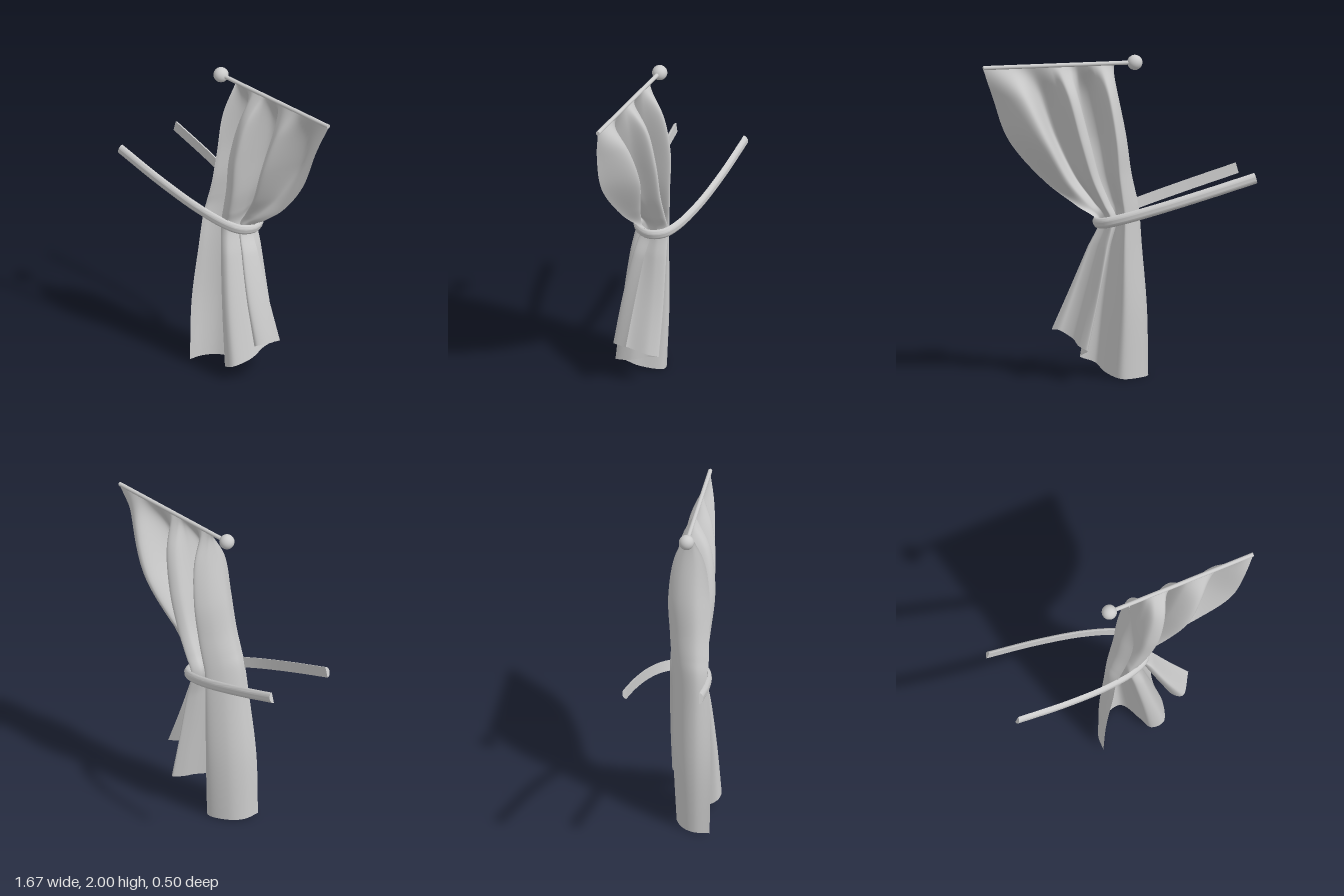
import * as THREE from 'three';
import { toCreasedNormals } from 'three/addons/utils/BufferGeometryUtils.js';

const V = (x, y, z) => new THREE.Vector3(x, y, z);
const ROD_Y = 1.955, ROD_Z = 0.04;

// Cross-sections of the cloth, listed along the folds from its right edge to its left edge
const HEM = [ // x, y, z
  [-0.238, 0.01, 0.2], [-0.23, 0.005, 0.1], [-0.175, 0.005, 0.02], [-0.03, 0.005, -0.03],
  [0.045, 0.035, 0.11], [0.08, 0.08, 0.205], [0.16, 0.11, 0.21], [0.2, 0.14, 0.1],
  [0.19, 0.18, -0.03], [0.21, 0.2, -0.1], [0.245, 0.22, -0.04], [0.25, 0.25, 0.1],
  [0.31, 0.29, 0.16], [0.397, 0.32, 0.04],
].map((p) => V(...p));

const WAIST = [ // x, z, on the slope of the tieback
  [-0.14, 0.178], [-0.168, 0.1], [-0.13, 0.01], [-0.04, -0.06], [-0.05, 0.06],
  [-0.03, 0.13], [0.02, 0.125], [0.035, 0.05], [0.01, -0.05], [0.05, -0.09],
  [0.07, -0.03], [0.05, 0.05], [0.085, 0.07], [0.112, 0],
].map(([x, z]) => V(x, 1.01 - 0.29 * x, z));

const SKIRT = [ // x, z, between hem and waist
  [-0.22, 0.203], [-0.222, 0.1], [-0.17, 0.01], [-0.04, -0.05], [0.01, 0.09],
  [0.04, 0.19], [0.1, 0.19], [0.135, 0.09], [0.12, -0.04], [0.14, -0.1],
  [0.165, -0.04], [0.17, 0.09], [0.215, 0.14], [0.28, 0.03],
].map(([x, z], i) => V(x, THREE.MathUtils.lerp(HEM[i].y, WAIST[i].y, 0.4), z));

const SHOULDER = [ // x, z
  [-0.03, 0.17], [-0.078, 0.08], [-0.05, -0.03], [0.02, -0.095], [0.045, 0.05],
  [0.07, 0.16], [0.145, 0.175], [0.17, 0.06], [0.185, -0.06], [0.245, -0.09],
  [0.275, 0.04], [0.35, 0.145], [0.46, -0.08], [0.66, 0.09],
].map(([x, z]) => V(x, 1.5, z));

const TOP = [0, 0.01, 0.03, 0.08, 0.13, 0.17, 0.23, 0.265, 0.3, 0.35, 0.4, 0.51, 0.67, 0.83]
  .map((x) => V(x, 1.945, ROD_Z));

// Blend two cross-sections with a separate amount for x, y and z
const blend = (a, b, fx, fy = fx, fz = fx) => a.map((p, i) => V(
  THREE.MathUtils.lerp(p.x, b[i].x, fx),
  THREE.MathUtils.lerp(p.y, b[i].y, fy),
  THREE.MathUtils.lerp(p.z, b[i].z, fz),
));

// Smooth sheet through the cross-sections: spline across, then spline upwards
function clothGeometry(sections, across, up) {
  const rows = sections.map((s) => new THREE.CatmullRomCurve3(s).getPoints(across));
  const geometry = new THREE.PlaneGeometry(1, 1, across, up);
  const position = geometry.attributes.position;
  for (let i = 0; i <= across; i++) {
    const column = new THREE.CatmullRomCurve3(rows.map((row) => row[i]));
    for (let j = 0; j <= up; j++) {
      const p = column.getPoint(1 - j / up);
      position.setXYZ(j * (across + 1) + i, p.x, p.y, p.z);
    }
  }
  geometry.computeVertexNormals();
  return geometry;
}

// Half-round band, extruded straight and then bent round a U-shaped path
function tiebackGeometry() {
  const half = [[-0.86, 0.225], [-0.52, 0.213], [-0.21, 0.182], [0, 0.132], [0.09, 0.08]];
  const path = new THREE.CatmullRomCurve3([
    ...half.map(([x, z]) => V(x, 0, -z)),
    V(0.122, 0, 0),
    ...half.map(([x, z]) => V(x, 0, z)).reverse(),
  ]);
  const section = new THREE.Shape();
  section.absellipse(0, 0, 0.026, 0.034, -Math.PI / 2, Math.PI / 2, false);
  section.closePath();
  const geometry = new THREE.ExtrudeGeometry(section, {
    depth: 1, steps: 72, curveSegments: 12, bevelEnabled: false,
  });
  const position = geometry.attributes.position;
  for (let i = 0; i < position.count; i++) {
    const t = THREE.MathUtils.clamp(position.getZ(i), 0, 1);
    const p = path.getPointAt(t), d = path.getTangentAt(t), out = position.getX(i);
    position.setXYZ(i, p.x + d.z * out, position.getY(i), p.z - d.x * out);
  }
  return toCreasedNormals(geometry, 0.7);
}

export function createModel() {
  const model = new THREE.Group();
  model.name = 'tiedCurtain';
  const material = new THREE.MeshStandardMaterial({ color: 0xcccccc });
  const clothMaterial = new THREE.MeshStandardMaterial({ color: 0xcccccc, side: THREE.DoubleSide });
  const add = (name, geometry, mat = material) => {
    const mesh = new THREE.Mesh(geometry, mat);
    mesh.name = name;
    model.add(mesh);
    return mesh;
  };

  // Curtain gathered at the waist, flaring to the hem and to the rod
  add('curtain', clothGeometry([
    HEM,
    SKIRT,
    blend(SKIRT, WAIST, 0.62, 0.62, 0.5),
    WAIST,
    blend(WAIST, SHOULDER, 0.24, 0.2, 0.25),
    blend(WAIST, SHOULDER, 0.6, 0.5, 0.6),
    SHOULDER,
    blend(SHOULDER, TOP, 0.6, 0.6, 0.28),
    TOP,
  ], 156, 90), clothMaterial);

  // Rod with a ball at one end
  const rod = add('rod', new THREE.CylinderGeometry(0.013, 0.013, 0.96, 20));
  rod.rotation.z = Math.PI / 2;
  rod.position.set(0.35, ROD_Y, ROD_Z);
  add('finial', new THREE.SphereGeometry(0.047, 32, 20)).position.set(-0.13, ROD_Y, ROD_Z);

  // Tieback sloping up towards the wall side
  const tieback = add('tieback', tiebackGeometry());
  tieback.position.y = 1.01;
  tieback.rotation.z = -Math.atan(0.29);

  return model;
}
